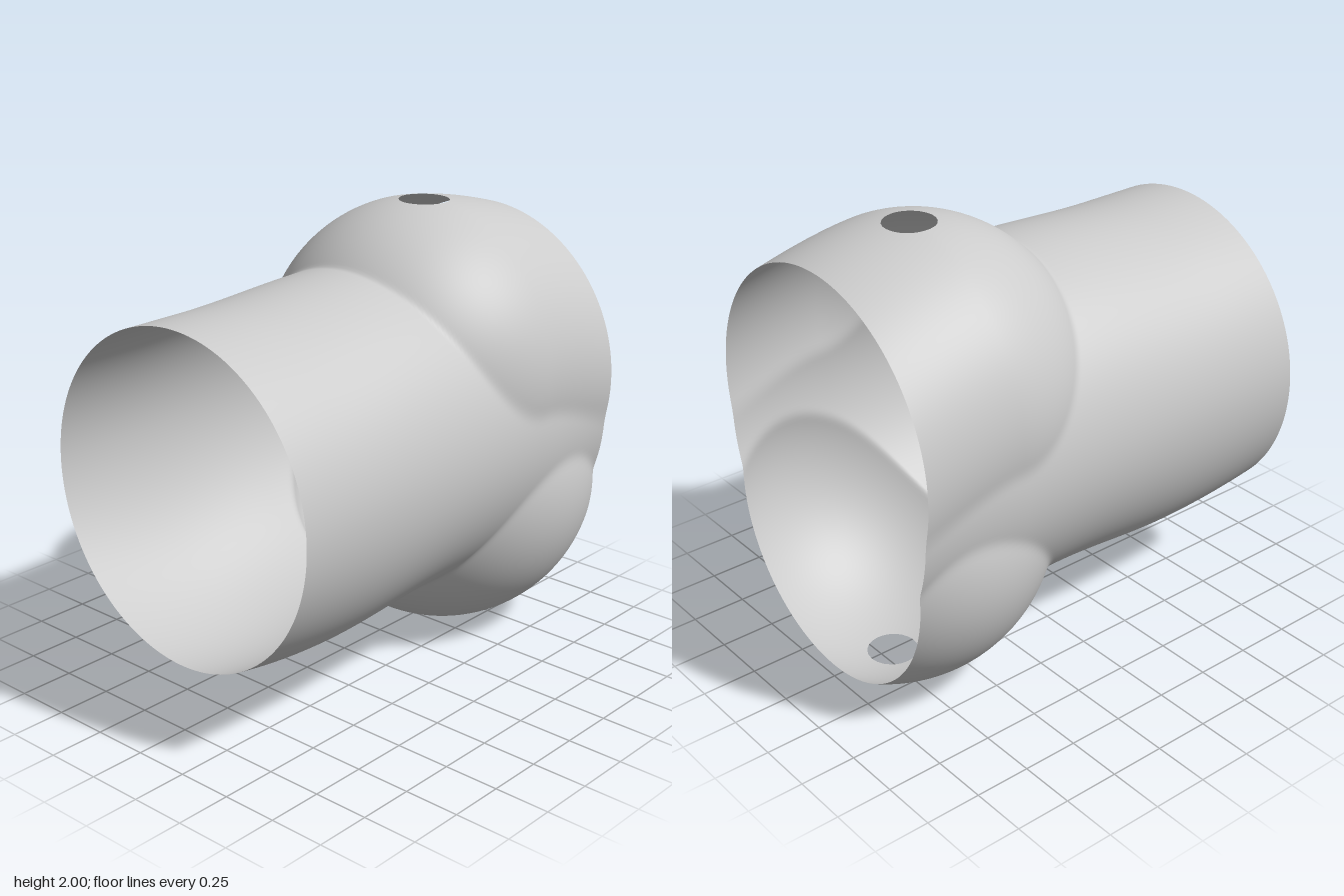
import * as THREE from 'three';

const { smoothstep } = THREE.MathUtils;
const AXIS_Y = 1.03, MID_Z = -0.004, R = 0.715, HOLE_R = 0.113;

// two swollen lobes, each with a round opening at its pole
const upper = { x: 0.53, y: 1.294, side: 1 };
const lower = { x: 0.69, y: 0.706, side: -1 };

// centre height and radius of a lobe's circular section at x
function lobeSection(lobe, x) {
  const dx = x - lobe.x;
  if (lobe === upper && dx > 0) {
    // the upper lobe runs out as a gently sinking tube
    return [lobe.y - 0.092 * Math.pow(dx / 0.47, 1.5), R];
  }
  return [lobe.y, Math.sqrt(Math.max(0, R * R - dx * dx))];
}

// distance from the axis to a circle's far side along direction (cos a, sin a)
function rayCircle(cy, r, a) {
  const d = cy - AXIS_Y, along = d * Math.cos(a);
  const disc = r * r - d * d + along * along;
  return disc > 0 ? along + Math.sqrt(disc) : 0;
}

// slightly wavy elliptical tube
function rayTube(x, a) {
  const top = 1.747 + 0.033 * smoothstep(x, -0.7, 0.05);
  const bottom = 0.245 + (x < -0.5 ? 0.22 * (x + 0.5) ** 2 : 0.04 * smoothstep(x, -0.5, 0.1));
  const w = 0.711 - 0.02 * smoothstep(x, 0.5, 1);
  const h = Math.cos(a) > 0 ? top - AXIS_Y : AXIS_Y - bottom;
  return 1 / Math.hypot(Math.cos(a) / h, Math.sin(a) / w);
}

function softMax(a, b, k = 0.012) {
  const h = Math.max(k - Math.abs(a - b), 0) / k;
  return Math.max(a, b) + h * h * k / 4;
}

function sleeveGeometry(nx, na) {
  const positions = [], cut = [], index = [];
  for (let i = 0; i <= nx; i++) {
    const x = -1 + 2 * i / nx;
    for (let j = 0; j < na; j++) {
      const a = j / na * Math.PI * 2;
      let r = rayTube(x, a);
      for (const lobe of [upper, lower]) {
        const [cy, cr] = lobeSection(lobe, x);
        r = softMax(r, rayCircle(cy, cr, a));
      }
      let p = [x, AXIS_Y + r * Math.cos(a), r * Math.sin(a)];
      let inside = 0;
      // push points within an opening out to its rim
      for (const lobe of [upper, lower]) {
        const dx = x - lobe.x, dz = p[2];
        const d = Math.hypot(dx, dz);
        if (d < HOLE_R && Math.cos(a) * lobe.side > 0) {
          inside = 1;
          const s = HOLE_R / Math.max(d, 1e-4);
          const px = lobe.x + dx * s, pz = dz * s;
          const [cy, cr] = lobeSection(lobe, px);
          p = [px, cy + lobe.side * Math.sqrt(cr * cr - pz * pz), pz];
        }
      }
      positions.push(p[0], p[1], p[2] + MID_Z);
      cut.push(inside);
    }
  }
  // skin the sections, leaving out the openings
  const tri = (a, b, c) => { if (!(cut[a] && cut[b] && cut[c])) index.push(a, b, c); };
  for (let i = 0; i < nx; i++) {
    for (let j = 0; j < na; j++) {
      const k = (j + 1) % na;
      const a = i * na + j, b = i * na + k, c = a + na, d = b + na;
      tri(a, b, c);
      tri(b, d, c);
    }
  }
  const geometry = new THREE.BufferGeometry();
  geometry.setAttribute('position', new THREE.Float32BufferAttribute(positions, 3));
  geometry.setIndex(index);
  geometry.computeVertexNormals();
  return geometry;
}

export function createModel() {
  const group = new THREE.Group();
  group.name = 'jointSleeve';
  const material = new THREE.MeshStandardMaterial({ color: 0xcccccc, side: THREE.DoubleSide });
  const sleeve = new THREE.Mesh(sleeveGeometry(180, 220), material);
  sleeve.name = 'sleeve';
  group.add(sleeve);
  return group;
}
